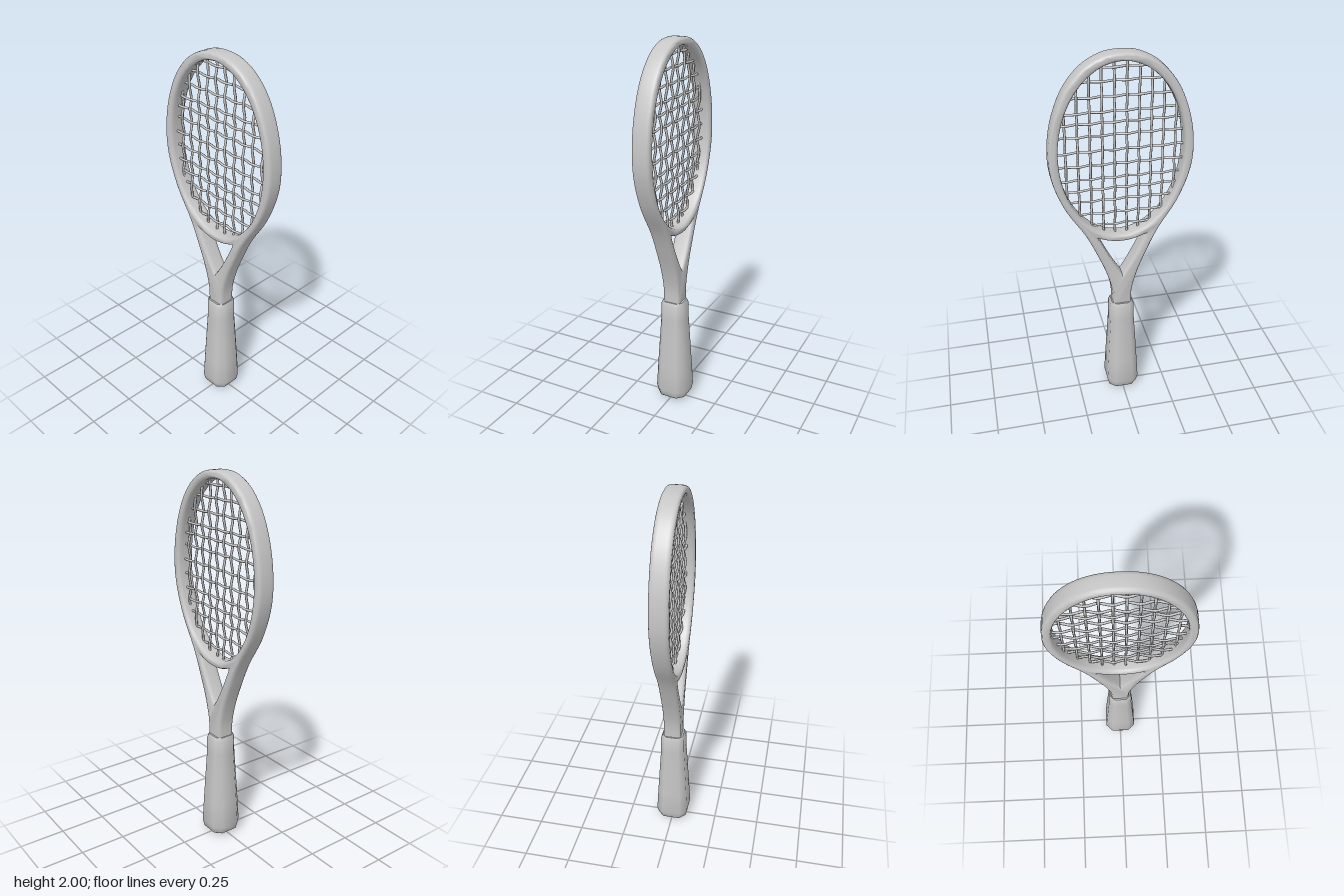
import * as THREE from 'three';
import { toCreasedNormals } from 'three/addons/utils/BufferGeometryUtils.js';

const HEAD_Y = 1.5, INNER_X = 0.315, INNER_Y = 0.46;
const grey = new THREE.MeshStandardMaterial({ color: 0xc6c6c6 });
grey.name = 'lightGrey';

function addMesh(parent, name, geometry) {
  const mesh = new THREE.Mesh(geometry, grey);
  mesh.name = name;
  parent.add(mesh);
}

// Smooth counter-clockwise curve through a right-hand half profile and its mirror image
function mirroredCurve(half, divisions) {
  const right = half.map(([x, y]) => new THREE.Vector2(x, y)).reverse();
  const left = half.slice(1).map(([x, y]) => new THREE.Vector2(-x, y));
  return new THREE.SplineCurve([...right, ...left]).getPoints(divisions);
}

// Hoop, bridge, throat and shaft as one rounded plate with two openings
function frameGeometry() {
  const shape = new THREE.Shape(mirroredCurve([
    [0, 2], [0.1, 1.985], [0.2, 1.925], [0.285, 1.815], [0.342, 1.66], [0.362, 1.5],
    [0.345, 1.36], [0.285, 1.205], [0.19, 1.05], [0.122, 0.9], [0.08, 0.79],
    [0.053, 0.68], [0.05, 0.57],
  ], 96));

  const headHole = new THREE.Path();
  headHole.absellipse(0, HEAD_Y, INNER_X, INNER_Y, 0, Math.PI * 2, true);

  const throatHole = new THREE.Path();
  throatHole.moveTo(0, 0.79);
  throatHole.quadraticCurveTo(-0.06, 0.88, -0.124, 1.03);
  throatHole.quadraticCurveTo(0, 0.97, 0.124, 1.03);
  throatHole.quadraticCurveTo(0.06, 0.88, 0, 0.79);
  shape.holes.push(headHole, throatHole);

  const geometry = new THREE.ExtrudeGeometry(shape, {
    depth: 0.05, curveSegments: 24, bevelEnabled: true,
    bevelThickness: 0.022, bevelSize: 0.013, bevelOffset: -0.013, bevelSegments: 3,
  });
  geometry.translate(0, 0, -0.025);
  return toCreasedNormals(geometry, 0.7);
}

// Eight-sided handle flaring to a butt; the profile gives [flat radius, height]
function handleGeometry() {
  const profile = [
    [0, 0], [0.06, 0.004], [0.08, 0.02], [0.089, 0.06], [0.082, 0.2],
    [0.073, 0.36], [0.065, 0.5], [0.064, 0.585], [0.056, 0.605], [0, 0.605],
  ].map(([r, y]) => new THREE.Vector2(r / Math.cos(Math.PI / 8), y));
  const geometry = new THREE.LatheGeometry(profile, 8);
  geometry.rotateY(Math.PI / 8);

  // Widen the four main flats so the corner flats become narrow
  const position = geometry.attributes.position;
  for (let i = 0; i < position.count; i++) {
    const x = position.getX(i), z = position.getZ(i);
    if (Math.abs(x) < Math.abs(z)) position.setX(i, x * 1.4);
    else position.setZ(i, z * 1.4);
  }
  return toCreasedNormals(geometry, 0.9);
}

// String ends are buried a little in the hoop; z alternates over and under
function stringGeometry(half, place, crossings, phase) {
  const stops = crossings.filter((c) => Math.abs(c) < half - 0.02);
  const points = [place(-half - 0.015, 0)];
  for (const c of stops) {
    points.push(place(c, (crossings.indexOf(c) + phase) % 2 ? 0.006 : -0.006));
  }
  points.push(place(half + 0.015, 0));
  const curve = new THREE.CatmullRomCurve3(points);
  return new THREE.TubeGeometry(curve, points.length * 3, 0.0065, 6, false);
}

export function createModel() {
  const racket = new THREE.Group();
  racket.name = 'racket';
  addMesh(racket, 'frame', frameGeometry());
  addMesh(racket, 'handle', handleGeometry());

  // Woven string bed
  const strings = new THREE.Group();
  strings.name = 'strings';
  racket.add(strings);
  const columns = Array.from({ length: 10 }, (_, i) => (i - 4.5) * 0.061);
  const rows = [1.09, 1.16, 1.235, 1.3, 1.36, 1.435, 1.51, 1.59, 1.655, 1.71, 1.785, 1.86, 1.925]
    .map((y) => y - HEAD_Y);

  columns.forEach((x, i) => {
    const half = INNER_Y * Math.sqrt(1 - (x / INNER_X) ** 2);
    addMesh(strings, 'mainString', stringGeometry(
      half, (t, z) => new THREE.Vector3(x, HEAD_Y + t, z), rows, i));
  });
  rows.forEach((y, j) => {
    const half = INNER_X * Math.sqrt(1 - (y / INNER_Y) ** 2);
    addMesh(strings, 'crossString', stringGeometry(
      half, (t, z) => new THREE.Vector3(t, HEAD_Y + y, z), columns, j + 1));
  });
  return racket;
}
